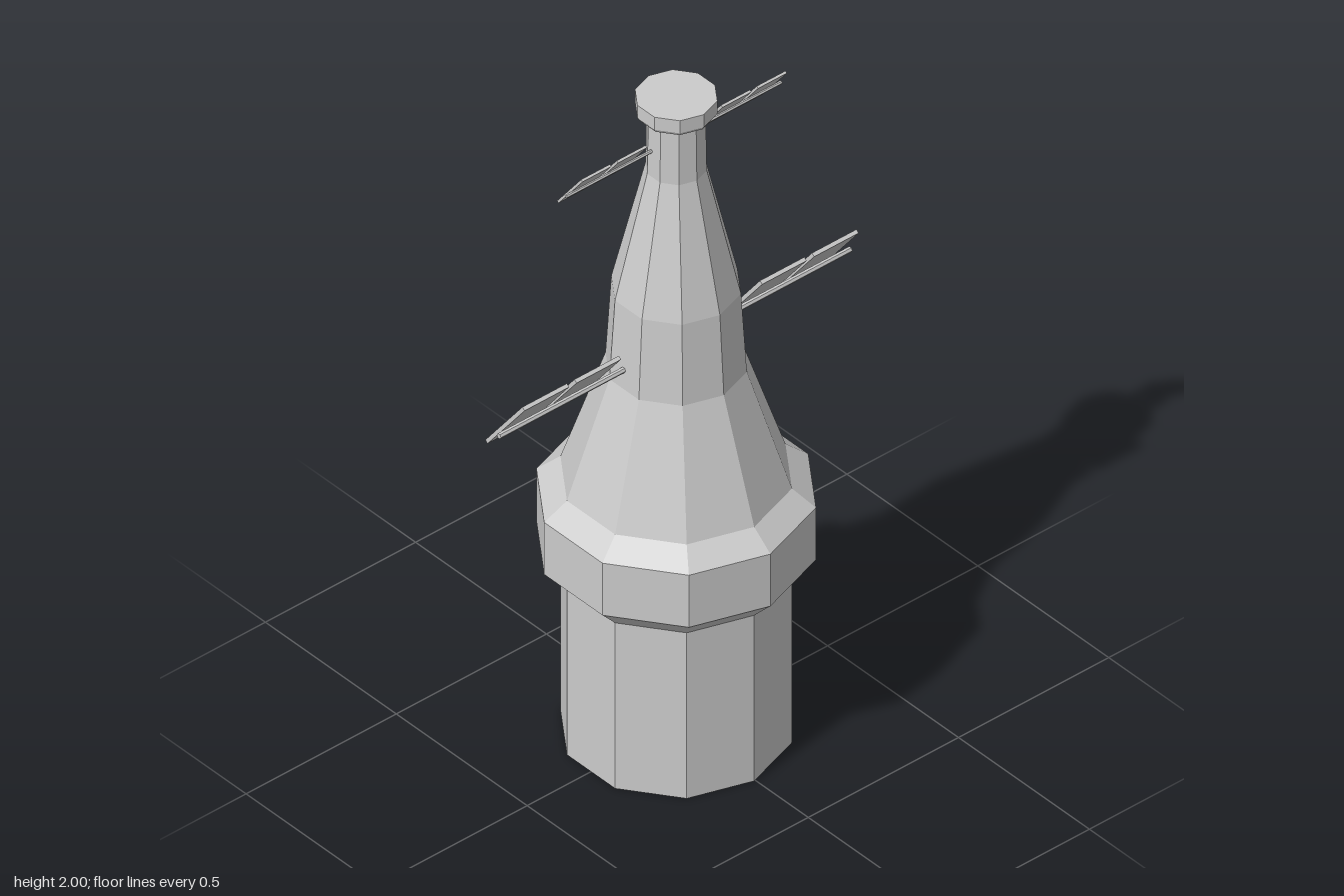
import * as THREE from 'three';

const material = new THREE.MeshStandardMaterial({ color: 0xcccccc, flatShading: true });

function addMesh(parent, name, geometry, x = 0, y = 0, z = 0) {
  const mesh = new THREE.Mesh(geometry, material);
  mesh.name = name;
  mesh.position.set(x, y, z);
  parent.add(mesh);
  return mesh;
}

// Ten-sided solid from [radius, height] pairs, bottom to top
function decagon(profile) {
  return new THREE.LatheGeometry(profile.map(([r, y]) => new THREE.Vector2(r, y)), 10);
}

// One wing: a thin rod carrying two tilted panels, mirrored by side
function addWing(parent, name, side, s) {
  const wing = new THREE.Group();
  wing.name = name;
  const rod = new THREE.CylinderGeometry(s.rodRadius, s.rodRadius, s.end - s.start, 6);
  rod.rotateZ(Math.PI / 2);
  addMesh(wing, 'rod', rod, side * (s.start + s.end) / 2, s.rodY, s.rodZ);
  for (const x of s.panels) {
    const panel = addMesh(wing, 'panel',
      new THREE.BoxGeometry(s.width, s.length, s.thickness), side * x, s.panelY, -0.016);
    panel.rotation.x = 0.65;
  }
  parent.add(wing);
}

export function createModel() {
  const model = new THREE.Group();
  model.name = 'station';
  const tower = new THREE.Group();
  tower.name = 'tower';
  tower.position.x = -0.004;
  model.add(tower);

  // Hull: drum, wide collar, tapering shoulders and neck
  addMesh(tower, 'hull', decagon([
    [0, 0], [0.298, 0], [0.298, 0.525], [0.36, 0.59], [0.36, 0.755], [0.298, 0.805],
    [0.182, 1.155], [0.167, 1.4], [0.079, 1.775], [0.076, 1.955],
  ]));

  // Cap on the neck
  addMesh(tower, 'cap', decagon([
    [0, 1.95], [0.1, 1.95], [0.106, 1.96], [0.106, 2], [0, 2],
  ]));

  // Two tiers of panel wings
  const tiers = {
    lower: {
      start: 0.16, end: 0.585, rodY: 1.212, rodZ: -0.006, rodRadius: 0.008,
      panels: [0.309, 0.482], width: 0.148, length: 0.234, thickness: 0.011, panelY: 1.226,
    },
    upper: {
      start: 0.065, end: 0.358, rodY: 1.854, rodZ: -0.01, rodRadius: 0.005,
      panels: [0.174, 0.292], width: 0.096, length: 0.152, thickness: 0.007, panelY: 1.858,
    },
  };
  for (const [tier, spec] of Object.entries(tiers)) {
    addWing(tower, tier + 'LeftWing', 1, spec);
    addWing(tower, tier + 'RightWing', -1, spec);
  }
  return model;
}
